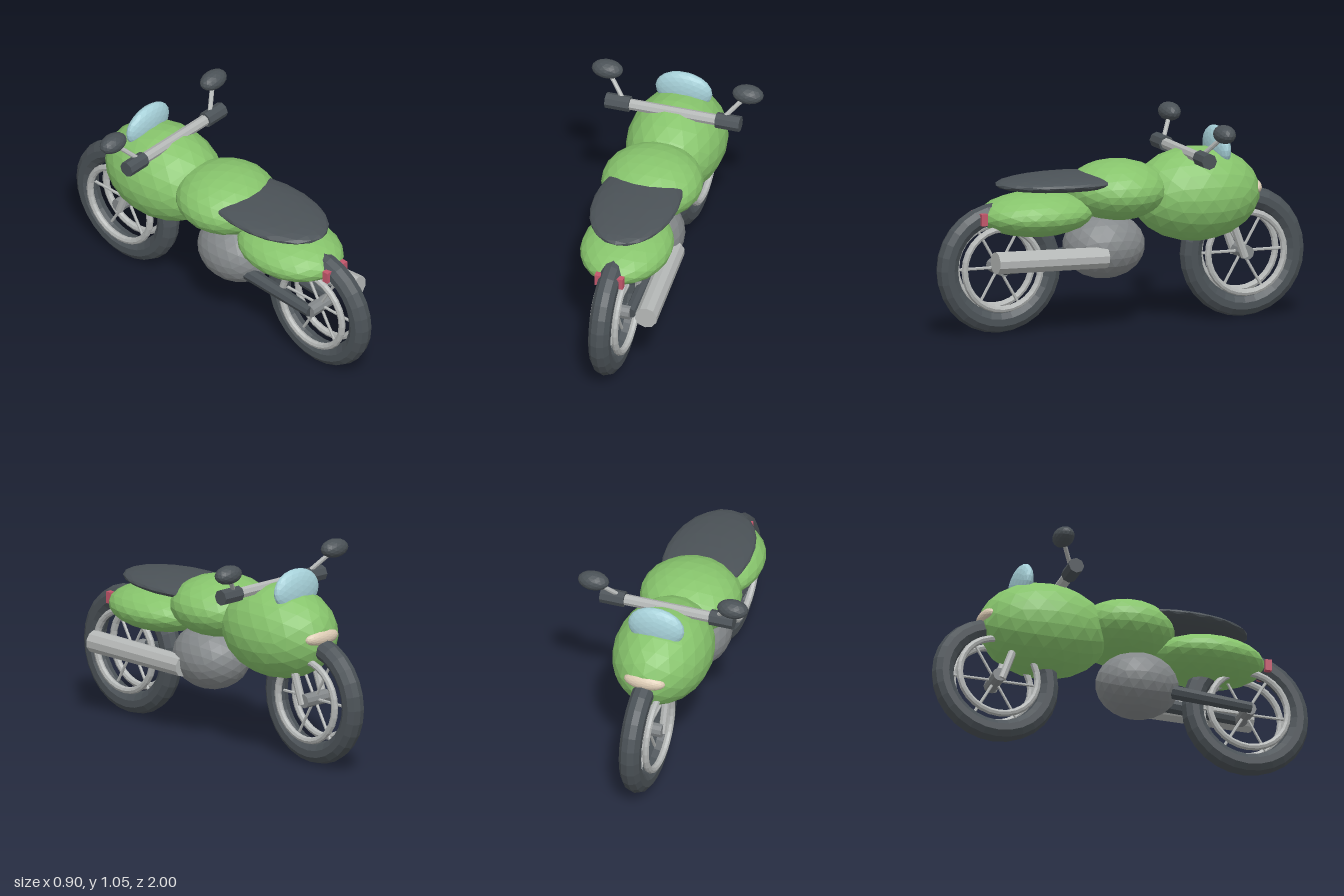
import * as THREE from 'three';

const paint = (name, color) => {
  const m = new THREE.MeshStandardMaterial({ color, flatShading: true });
  m.name = name;
  return m;
};

export function createModel() {
  const green = paint('green paint', 0x87c46c);
  const dark = paint('dark rubber', 0x4b5257);
  const grey = paint('engine grey', 0x84888a);
  const silver = paint('silver metal', 0xb4b7b6);
  const glass = paint('pale blue screen', 0xa6d0d8);
  const cream = paint('cream lamp', 0xdccbb4);
  const red = paint('red lamp', 0xc2566b);

  const model = new THREE.Group();
  model.name = 'motorcycle';

  const add = (name, geometry, material, parent = model) => {
    const mesh = new THREE.Mesh(geometry, material);
    mesh.name = name;
    parent.add(mesh);
    return mesh;
  };

  // faceted ellipsoid: centre and radii
  const blob = (name, material, centre, radii, detail = 3) => {
    const mesh = add(name, new THREE.IcosahedronGeometry(1, detail).scale(...radii), material);
    mesh.position.set(...centre);
    return mesh;
  };

  // round bar between two points
  const bar = (name, material, from, to, r0, r1 = r0, sides = 8, parent = model) => {
    const a = new THREE.Vector3(...from);
    const b = new THREE.Vector3(...to);
    const dir = b.clone().sub(a);
    const mesh = add(name, new THREE.CylinderGeometry(r1, r0, dir.length(), sides), material, parent);
    mesh.position.copy(a).add(b).multiplyScalar(0.5);
    mesh.quaternion.setFromUnitVectors(new THREE.Vector3(0, 1, 0), dir.normalize());
    return mesh;
  };

  // wheels: tyre, twin rims, hub and six spokes
  const makeWheel = (name, z) => {
    const wheel = new THREE.Group();
    wheel.name = name;
    wheel.position.set(0, 0.336, z);
    add('tyre', new THREE.TorusGeometry(0.279, 0.057, 10, 28).rotateY(Math.PI / 2), dark, wheel);
    for (const s of [-1, 1]) {
      const rim = add('rim', new THREE.TorusGeometry(0.207, 0.018, 8, 28).rotateY(Math.PI / 2), silver, wheel);
      rim.position.x = s * 0.059;
    }
    bar('hub', grey, [-0.08, 0, 0], [0.08, 0, 0], 0.036, 0.036, 10, wheel);
    for (let i = 0; i < 6; i++) {
      const a = (i * Math.PI) / 3;
      bar('spoke', silver, [0, 0, 0], [0, 0.225 * Math.sin(a), 0.225 * Math.cos(a)], 0.008, 0.008, 6, wheel);
    }
    model.add(wheel);
  };
  makeWheel('frontWheel', -0.664);
  makeWheel('rearWheel', 0.664);

  // body
  blob('fairing', green, [0, 0.648, -0.41], [0.252, 0.243, 0.34]);
  blob('tank', green, [0, 0.695, 0.02], [0.26, 0.155, 0.26]);
  blob('tail', green, [0, 0.598, 0.46], [0.232, 0.115, 0.3]);
  blob('seat', dark, [0, 0.755, 0.3], [0.22, 0.046, 0.375]);
  blob('engine', grey, [0, 0.413, 0.09], [0.185, 0.17, 0.215]);
  blob('windscreen', glass, [0, 0.88, -0.528], [0.15, 0.11, 0.05]).rotation.x = 0.06;
  blob('headlight', cream, [0, 0.668, -0.71], [0.11, 0.045, 0.047]);

  // tail light block, straddling the tyre
  add('tailLight', new THREE.BoxGeometry(0.15, 0.06, 0.034), red).position.set(0, 0.595, 0.767);

  // exhaust
  bar('exhaust', silver, [0.152, 0.376, 0.14], [0.189, 0.392, 0.755], 0.056, 0.058, 10);

  // handlebar
  bar('handlebar', silver, [-0.25, 0.868, -0.345], [0.25, 0.868, -0.345], 0.029);

  // paired parts
  for (const s of [-1, 1]) {
    bar('fork', silver, [s * 0.075, 0.315, -0.652], [s * 0.075, 0.72, -0.505], 0.021);
    bar('swingarm', dark, [s * 0.08, 0.338, 0.67], [s * 0.08, 0.37, 0.2], 0.03, 0.038);
    bar('grip', dark, [s * 0.228, 0.868, -0.345], [s * 0.355, 0.868, -0.345], 0.041);
    bar('mirrorStalk', silver, [s * 0.265, 0.89, -0.345], [s * 0.36, 0.99, -0.415], 0.012);
    blob('mirror', dark, [s * 0.372, 1.007, -0.42], [0.082, 0.048, 0.054], 2);
  }

  return model;
}
